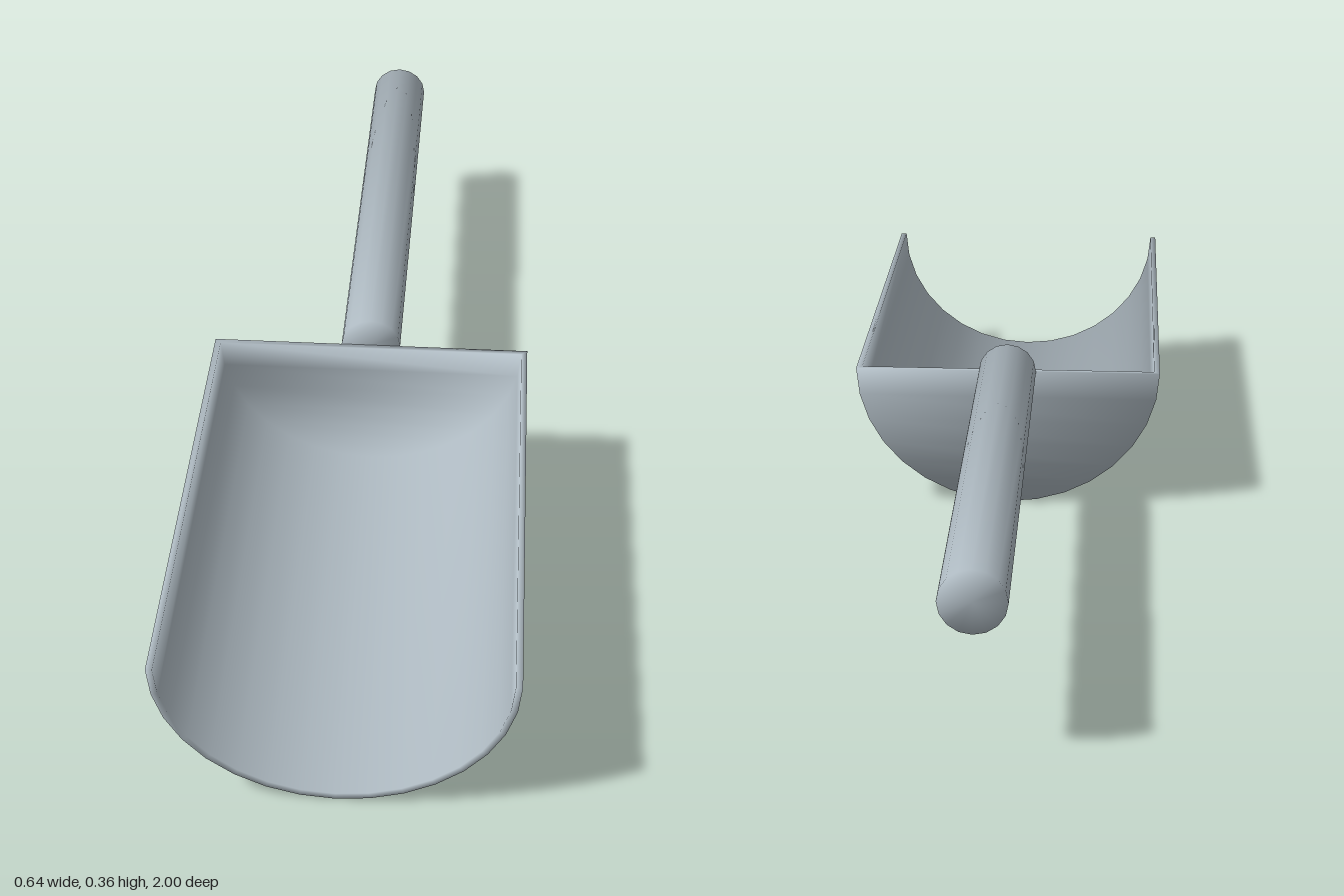
import * as THREE from 'three';
import { mergeVertices } from 'three/addons/utils/BufferGeometryUtils.js';

// Shares corners and averages face normals by corner angle, for soft edges all over
function soften(source) {
  source.deleteAttribute('normal');
  source.deleteAttribute('uv');
  const geometry = mergeVertices(source, 1e-4);
  const pos = geometry.attributes.position;
  const index = geometry.index;
  const normals = Array.from({ length: pos.count }, () => new THREE.Vector3());
  const triangle = new THREE.Triangle();
  const face = new THREE.Vector3();
  for (let i = 0; i < index.count; i += 3) {
    const ids = [0, 1, 2].map((j) => index.getX(i + j));
    triangle.setFromAttributeAndIndices(pos, ...ids);
    triangle.getNormal(face);
    const p = [triangle.a, triangle.b, triangle.c];
    ids.forEach((id, j) => {
      const u = p[(j + 1) % 3].clone().sub(p[j]);
      const v = p[(j + 2) % 3].clone().sub(p[j]);
      normals[id].addScaledVector(face, u.angleTo(v));
    });
  }
  const flat = normals.flatMap((n) => n.normalize().toArray());
  geometry.setAttribute('normal', new THREE.Float32BufferAttribute(flat, 3));
  return geometry;
}

// Half-round trough with a wall thickness, open in front and closed at the back
function scoopGeometry() {
  const N = 16;
  const rimY = 0.3;
  const positions = [];
  const indices = [];
  for (let k = 0; k <= N; k++) {
    const a = (Math.PI * k) / N;
    for (const [rx, ry, back] of [[0.32, 0.3, 0.05], [0.308, 0.287, 0.062]]) {
      const x = rx * Math.cos(a);
      const y = rimY - ry * Math.sin(a);
      positions.push(x, y, 1, x, y, back);
    }
  }
  const outF = (k) => 4 * k;
  const outB = (k) => 4 * k + 1;
  const inF = (k) => 4 * k + 2;
  const inB = (k) => 4 * k + 3;
  const quad = (a, b, c, d) => {
    if (b !== c) indices.push(a, b, c);
    indices.push(a, c, d);
  };
  // Outer skin, inner skin and front rim
  for (let k = 0; k < N; k++) {
    quad(outF(k), outF(k + 1), outB(k + 1), outB(k));
    quad(inF(k), inB(k), inB(k + 1), inF(k + 1));
    quad(outF(k), inF(k), inF(k + 1), outF(k + 1));
  }
  // Back wall, filled in level bands on both faces
  for (let k = 0; k < N / 2; k++) {
    quad(outB(k), outB(k + 1), outB(N - 1 - k), outB(N - k));
    quad(inB(N - k), inB(N - 1 - k), inB(k + 1), inB(k));
  }
  // Top edges of the two sides and the back wall
  quad(outF(0), outB(0), inB(0), inF(0));
  quad(outF(N), inF(N), inB(N), outB(N));
  quad(outB(0), outB(N), inB(N), inB(0));

  const geometry = new THREE.BufferGeometry();
  geometry.setAttribute('position', new THREE.Float32BufferAttribute(positions, 3));
  geometry.setIndex(indices);
  return soften(geometry);
}

export function createModel() {
  const model = new THREE.Group();
  model.name = 'handScoop';

  const steel = new THREE.MeshStandardMaterial({ color: 0xb4c0c8 });
  steel.name = 'paleSteel';

  const scoop = new THREE.Mesh(scoopGeometry(), steel);
  scoop.name = 'scoop';

  // Round grip running straight back from the top of the back wall
  const grip = new THREE.CylinderGeometry(0.06, 0.06, 1.05, 16).rotateX(Math.PI / 2);
  const handle = new THREE.Mesh(soften(grip), steel);
  handle.name = 'handle';
  handle.position.set(0, 0.3, -0.475);

  model.add(scoop, handle);
  return model;
}
